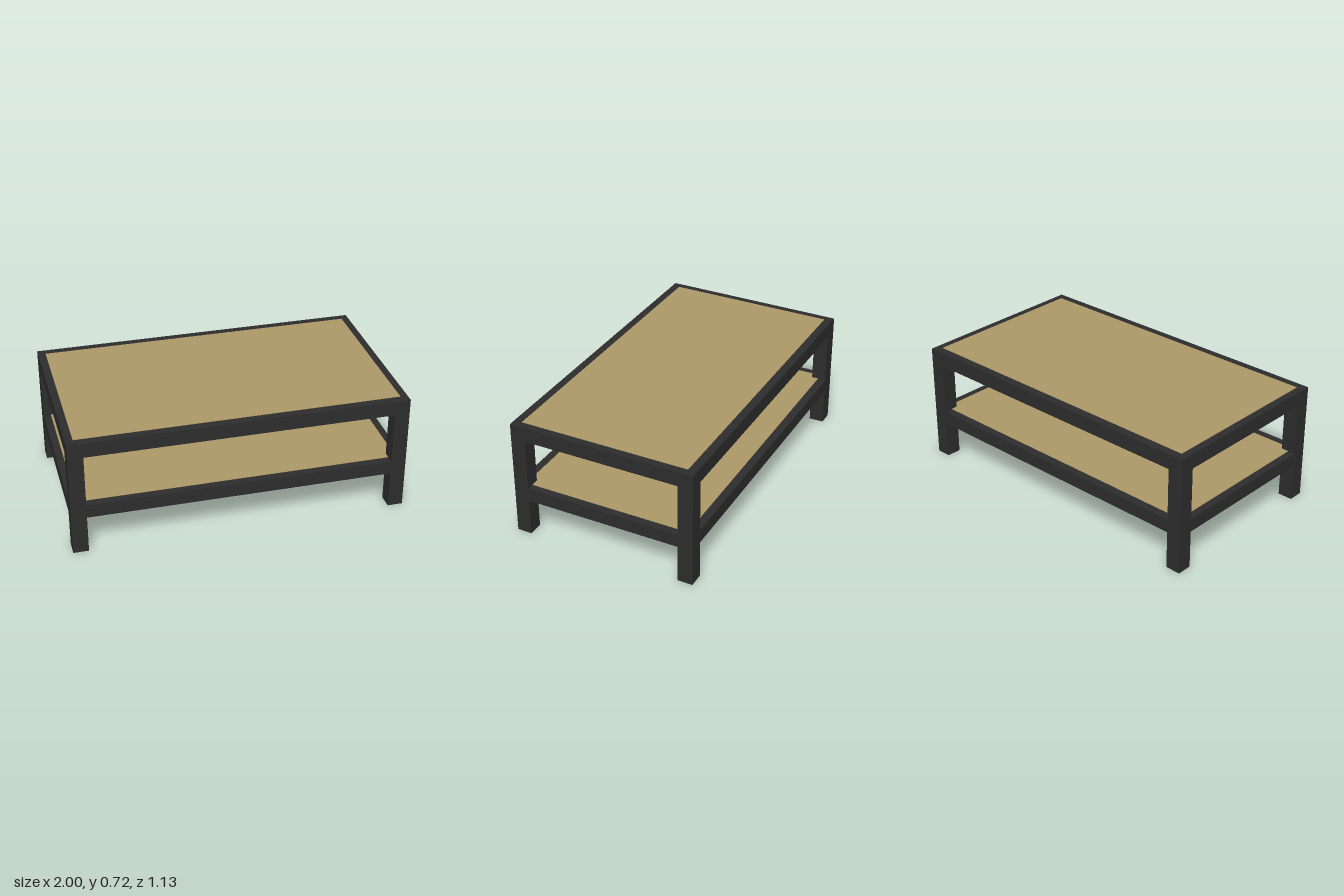
import * as THREE from 'three';

const HALF_X = 1, HALF_Z = 0.567, HEIGHT = 0.72, BEAM = 0.091;

export function createModel() {
  const table = new THREE.Group();
  table.name = 'coffeeTable';
  const frameMaterial = new THREE.MeshStandardMaterial({ color: 0x2d2d2d });
  const panelMaterial = new THREE.MeshStandardMaterial({ color: 0xad9968 });

  // Box given by its size, centre x and z, and bottom y
  function box(name, material, w, h, d, x, bottom, z) {
    const mesh = new THREE.Mesh(new THREE.BoxGeometry(w, h, d), material);
    mesh.name = name;
    mesh.position.set(x, bottom + h / 2, z);
    table.add(mesh);
  }

  const legX = HALF_X - BEAM / 2, legZ = HALF_Z - BEAM / 2;

  // Four square corner legs
  for (const sx of [-1, 1]) {
    for (const sz of [-1, 1]) {
      const name = (sz > 0 ? 'front' : 'back') + (sx > 0 ? 'Left' : 'Right') + 'Leg';
      box(name, frameMaterial, BEAM, HEIGHT, BEAM, sx * legX, 0, sz * legZ);
    }
  }

  // Two tiers: rails between the legs, and a panel set into them, standing slightly proud
  const tiers = [
    { name: 'top', bottom: HEIGHT - 0.09, height: 0.09 },
    { name: 'shelf', bottom: 0.23, height: 0.082 },
  ];
  for (const { name, bottom, height } of tiers) {
    for (const s of [-1, 1]) {
      box(name + (s > 0 ? 'Front' : 'Back') + 'Rail', frameMaterial,
        2 * (HALF_X - BEAM), height, BEAM, 0, bottom, s * legZ);
      box(name + (s > 0 ? 'Left' : 'Right') + 'Rail', frameMaterial,
        BEAM, height, 2 * (HALF_Z - BEAM), s * legX, bottom, 0);
    }
    const thickness = 0.034;
    box(name + 'Panel', panelMaterial, 2 * (HALF_X - 0.045), thickness, 2 * (HALF_Z - 0.05),
      0, bottom + height + 0.003 - thickness, 0);
  }

  return table;
}
